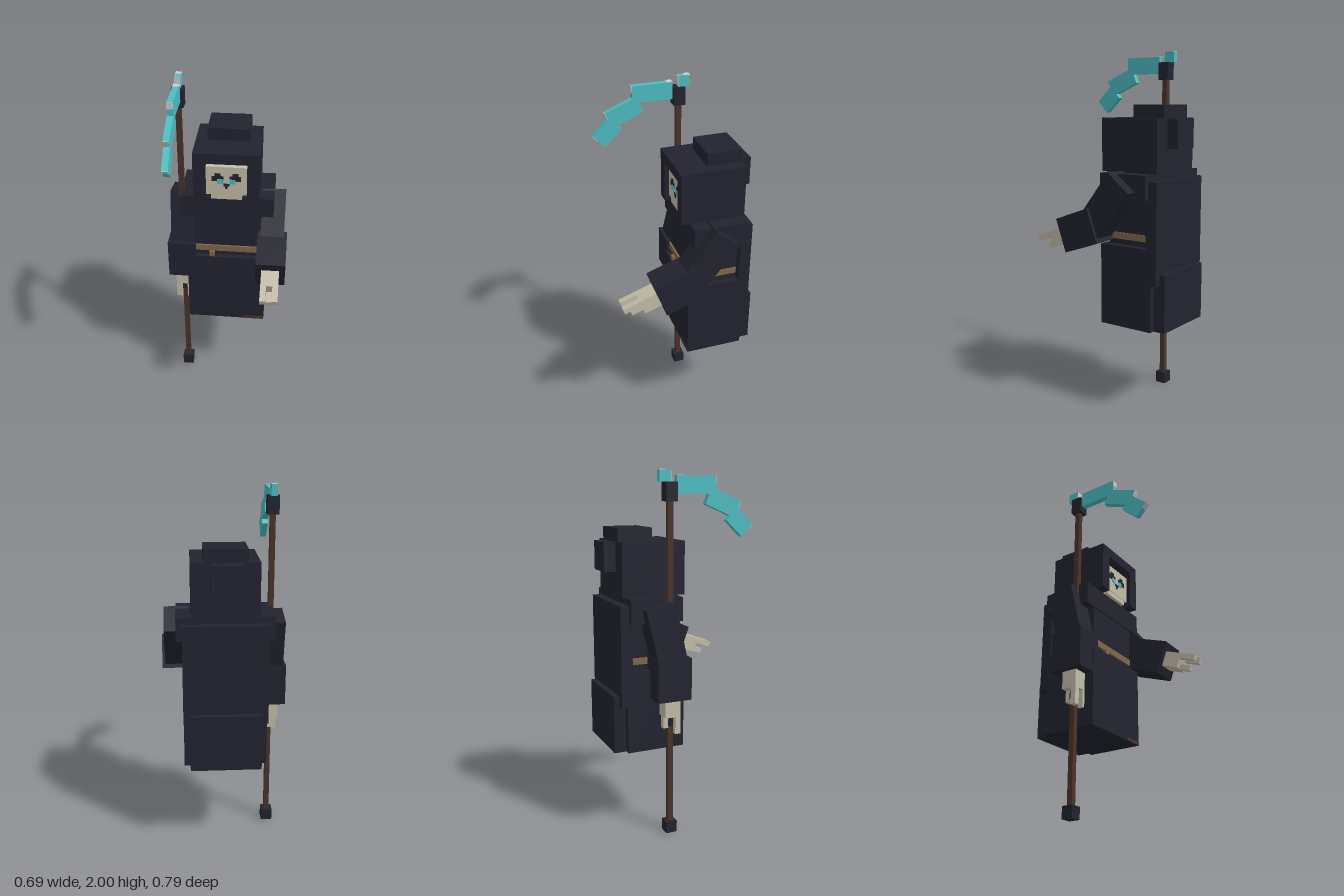
import * as THREE from 'three';

const mat = (name, color) => {
  const m = new THREE.MeshStandardMaterial({ color });
  m.name = name;
  return m;
};

export function createModel() {
  const cloth = mat('dark cloth', 0x22232f);
  const bone = mat('bone', 0xc4bda8);
  const wood = mat('dark wood', 0x4a332b);
  const rope = mat('belt rope', 0x80684a);
  const cyan = mat('cyan blade', 0x4dbdc2);
  const pale = mat('pale edge', 0xcdcfcf);

  const model = new THREE.Group();

  const group = (name, parent, x = 0, y = 0, z = 0, tilt = 0) => {
    const g = new THREE.Group();
    g.name = name;
    g.position.set(x, y, z);
    g.rotation.x = tilt;
    parent.add(g);
    return g;
  };

  // box given by its limits on each axis
  const box = (name, parent, m, [x0, x1], [y0, y1], [z0, z1]) => {
    const mesh = new THREE.Mesh(new THREE.BoxGeometry(x1 - x0, y1 - y0, z1 - z0), m);
    mesh.position.set((x0 + x1) / 2, (y0 + y1) / 2, (z0 + z1) / 2);
    mesh.name = name;
    parent.add(mesh);
    return mesh;
  };

  // hood with a recessed opening
  const hood = group('hood', model);
  box('hoodBack', hood, cloth, [-0.18, 0.18], [1.34, 1.63], [-0.333, -0.04]);
  box('hoodBrow', hood, cloth, [-0.18, 0.18], [1.57, 1.63], [-0.04, 0.026]);
  box('hoodCrown', hood, cloth, [-0.115, 0.115], [1.63, 1.7], [-0.333, -0.137]);
  box('hoodTail', hood, cloth, [-0.08, 0.08], [1.47, 1.628], [-0.398, -0.333]);
  for (const s of [-1, 1]) {
    const xs = s < 0 ? [-0.18, -0.113] : [0.113, 0.18];
    box('hoodCheek', hood, cloth, xs, [1.34, 1.57], [-0.04, 0.026]);
  }

  // skull face with thin painted features
  const face = group('face', model);
  box('skull', face, bone, [-0.112, 0.112], [1.37, 1.54], [-0.05, 0]);
  box('jaw', face, bone, [-0.085, 0.085], [1.34, 1.37], [-0.05, -0.003]);
  const plate = (name, m, x0, x1, y0, y1, z = 0.003) =>
    box(name, face, m, [x0, x1], [y0, y1], [0, z]);
  for (const s of [-1, 1]) {
    const eye = (name, m, a, b, y0, y1, z) =>
      plate(name, m, Math.min(s * a, s * b), Math.max(s * a, s * b), y0, y1, z);
    eye('eyeSocket', cloth, 0.016, 0.08, 1.455, 1.485);
    eye('eyeSocketTop', cloth, 0.032, 0.064, 1.485, 1.502);
    eye('iris', cyan, 0.016, 0.05, 1.44, 1.468, 0.005);
  }
  plate('nose', cloth, -0.016, 0.016, 1.425, 1.44);
  plate('noseTip', cloth, -0.006, 0.006, 1.41, 1.425);

  // robe, belt and cape
  const robe = group('robe', model);
  box('collar', robe, cloth, [-0.262, 0.262], [1.21, 1.34], [-0.317, -0.022]);
  box('torso', robe, cloth, [-0.187, 0.187], [0.94, 1.21], [-0.305, -0.03]);
  box('belt', robe, rope, [-0.192, 0.192], [0.975, 1.012], [-0.297, -0.02]);
  box('beltKnot', robe, rope, [-0.1, -0.07], [0.945, 0.975], [-0.035, -0.004]);
  box('skirt', robe, cloth, [-0.228, 0.228], [0.49, 0.945], [-0.33, 0]);
  box('hemPatch', robe, wood, [0.11, 0.226], [0.491, 0.51], [0, 0.003]);
  box('capeUpper', robe, cloth, [-0.23, 0.23], [0.75, 1.305], [-0.365, -0.3]);
  box('capeLower', robe, cloth, [-0.195, 0.195], [0.49, 0.81], [-0.398, -0.325]);

  // hand pointing down: palm, two front fingers, one thumb behind
  const hand = (parent) => {
    box('palm', parent, bone, [-0.049, 0.049], [-0.1, 0.02], [-0.044, 0.045]);
    for (const x of [-0.049, 0.017])
      box('finger', parent, bone, [x, x + 0.032], [-0.197, -0.1], [0.013, 0.045]);
    box('thumb', parent, bone, [-0.016, 0.016], [-0.167, -0.1], [-0.044, -0.014]);
  };

  // arms: x, then [y, z, tilt] for upper arm, sleeve and hand
  const arm = (name, x, upper, sleeve, wrist) => {
    const a = group(name, model, x);
    const place = (part, [y, z, tilt]) => group(part, a, 0, y, z, tilt);
    box('upperArm', place('upperArmJoint', upper), cloth, [-0.065, 0.065], [-0.165, 0.165], [-0.083, 0.083]);
    box('sleeve', place('sleeveJoint', sleeve), cloth, [-0.082, 0.082], [-0.116, 0.116], [-0.097, 0.097]);
    hand(place('hand', wrist));
  };
  arm('leftArm', 0.261, [1.17, -0.085, -0.67], [1.022, 0.085, -1.228], [0.983, 0.195, -1.228]);
  arm('rightArm', -0.261, [1.145, -0.138, -0.227], [0.906, -0.102, 0], [0.79, -0.1, 0]);

  // scythe
  const scythe = group('scythe', model, -0.261, 0, -0.1);
  const bar = (name, m, r, y0, y1) => box(name, scythe, m, [-r, r], [y0, y1], [-r, r]);
  bar('shaft', wood, 0.015, 0.03, 1.9);
  bar('pommel', cloth, 0.032, 0, 0.066);
  bar('grip', cloth, 0.0165, 0.63, 0.7);
  bar('shaftHead', cloth, 0.032, 1.84, 1.938);

  const w = [-0.0165, 0.0165];
  box('spur', scythe, cyan, w, [1.938, 1.997], [-0.063, -0.001]);
  box('spurFrontEdge', scythe, pale, w, [1.938, 1.997], [-0.001, 0.002]);
  box('spurTopEdge', scythe, pale, w, [1.997, 2], [-0.063, -0.031]);
  box('bladeTopEdge', scythe, pale, w, [1.969, 1.972], [0.035, 0.068]);

  // blade segments: centre y, centre z, length, downward tilt
  for (const [y, z, len, tilt] of [
    [1.922, 0.147, 0.225, 0],
    [1.83, 0.304, 0.19, 0.4],
    [1.727, 0.404, 0.13, 0.757],
  ]) {
    const seg = group('bladeSegment', scythe, 0, y, z, tilt);
    box('blade', seg, cyan, w, [-0.047, 0.047], [-len / 2, len / 2]);
    box('bladeEndEdge', seg, pale, w, [0.012, 0.047], [len / 2, len / 2 + 0.003]);
  }

  return model;
}
